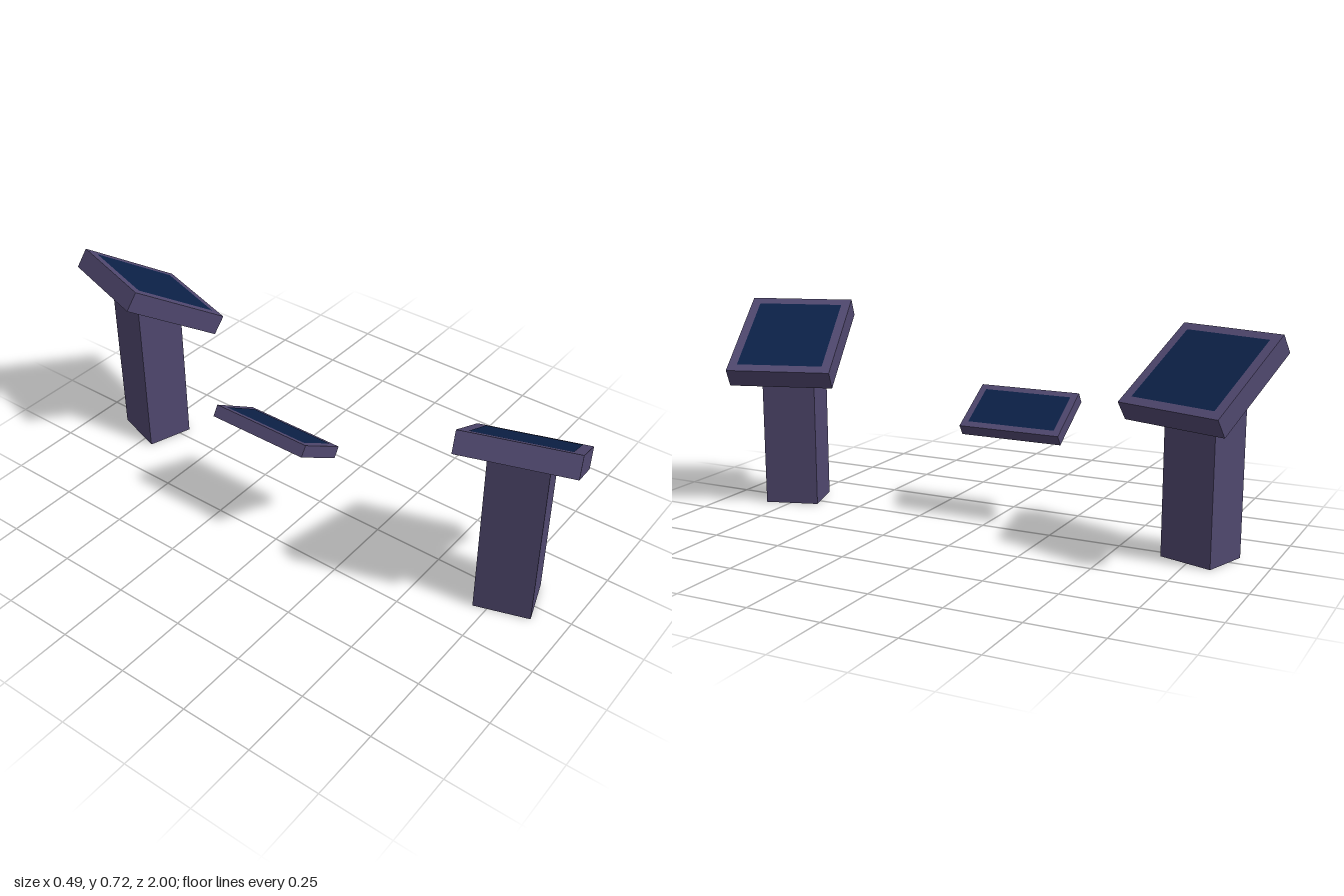
import * as THREE from 'three';

const TILT = THREE.MathUtils.degToRad(32.5);
const YAW = THREE.MathUtils.degToRad(18);

const casing = new THREE.MeshStandardMaterial({ color: 0x50486f, flatShading: true });
const glass = new THREE.MeshStandardMaterial({ color: 0x0c2148, flatShading: true });

// Tilted slab with a dark screen on its sloping face; origin at the middle of its underside
function makePanel(length, thickness, width, border) {
  const panel = new THREE.Group();
  panel.name = 'panel';
  panel.rotation.z = -TILT;

  const slab = new THREE.Mesh(new THREE.BoxGeometry(length, thickness, width), casing);
  slab.name = 'panelCasing';
  slab.position.y = thickness / 2;

  const screenGeometry = new THREE.PlaneGeometry(length - 2 * border, width - 2 * border);
  screenGeometry.rotateX(-Math.PI / 2);
  const screen = new THREE.Mesh(screenGeometry, glass);
  screen.name = 'screen';
  screen.position.y = thickness + 0.001;

  panel.add(slab, screen);
  return panel;
}

// Square post whose top is cut to meet the tilted underside of the panel
function makePost(depth, width, height) {
  const geometry = new THREE.BoxGeometry(depth, height, width);
  geometry.translate(0, height / 2, 0);
  const p = geometry.attributes.position;
  for (let i = 0; i < p.count; i++) {
    if (p.getY(i) > 0) p.setY(i, height - p.getX(i) * Math.tan(TILT));
  }
  geometry.computeVertexNormals();
  const post = new THREE.Mesh(geometry, casing);
  post.name = 'post';
  return post;
}

export function createModel() {
  const model = new THREE.Group();
  model.name = 'consoleSet';

  // Two standing consoles, mirrored and turned towards each other
  for (const side of [1, -1]) {
    const stand = new THREE.Group();
    stand.name = side > 0 ? 'frontConsole' : 'backConsole';
    const panel = makePanel(0.396, 0.072, 0.37, 0.032);
    panel.position.y = 0.554;
    stand.add(makePost(0.165, 0.19, 0.554), panel);
    stand.position.set(-0.01, 0, side * 0.77);
    stand.rotation.y = side * YAW;
    model.add(stand);
  }

  // Smaller floating panel between them
  const middle = makePanel(0.213, 0.041, 0.37, 0.024);
  middle.name = 'middlePanel';
  middle.position.set(-0.161, 0.353, -0.07);
  model.add(middle);

  return model;
}
